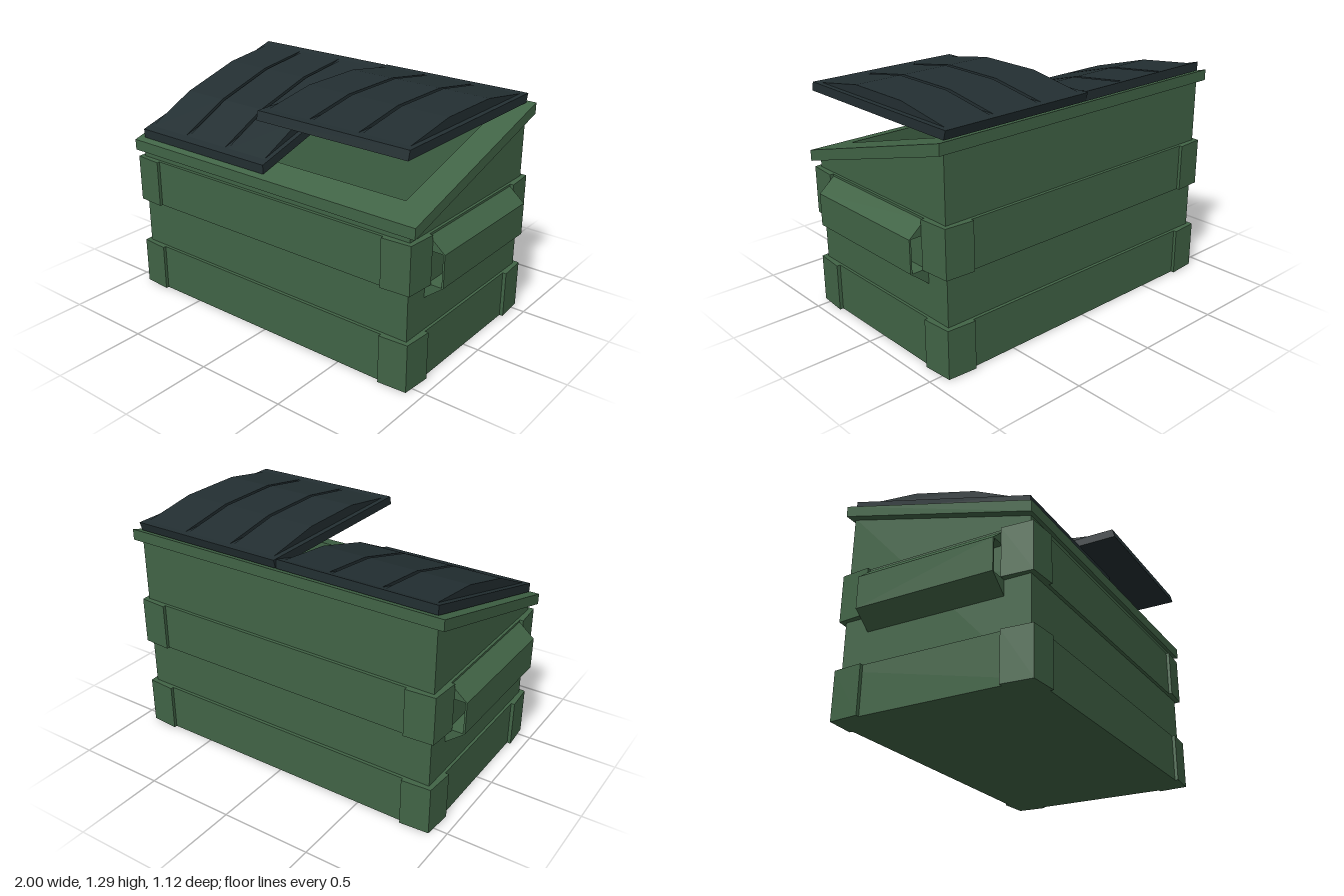
import * as THREE from 'three';

const green = new THREE.MeshStandardMaterial({ color: 0x416446 });
green.name = 'green steel';
const dark = new THREE.MeshStandardMaterial({ color: 0x232f32 });
dark.name = 'dark plastic';

const SLOPE = 0.286;
const HOLE_X = 0.785, HOLE_Z = 0.4;
const slopeY = (base, z) => base + (0.55 - z) * SLOPE;

function add(parent, name, geometry, material) {
  const mesh = new THREE.Mesh(geometry, material);
  mesh.name = name;
  parent.add(mesh);
  return mesh;
}

const shapeOf = pts => new THREE.Shape(pts.map(p => new THREE.Vector2(p[0], p[1])));
const rect = (x, z) => [[-x, -z], [x, -z], [x, z], [-x, z]];

// Plan outline (x, z) extruded upwards from y = 0
function plan(shape, height) {
  return new THREE.ExtrudeGeometry(shape, { depth: height, bevelEnabled: false }).rotateX(-Math.PI / 2);
}

// Rectangular ring of walls around the open cavity
function frame(x, z, height) {
  const s = shapeOf(rect(x, z));
  s.holes.push(shapeOf(rect(HOLE_X, HOLE_Z)));
  return plan(s, height);
}

// Replace bottom and top heights by functions of z
function slant(geometry, bottom, top) {
  const p = geometry.attributes.position;
  for (let i = 0; i < p.count; i++) {
    const z = p.getZ(i);
    p.setY(i, p.getY(i) > 0.5 ? top(z) : bottom(z));
  }
  geometry.computeVertexNormals();
  return geometry;
}

// Side profile (z, y) extruded across x from x0 to x1
function sideProfile(pts, x0, x1) {
  return new THREE.ExtrudeGeometry(shapeOf(pts), { depth: x1 - x0, bevelEnabled: false })
    .rotateY(-Math.PI / 2).translate(x1, 0, 0);
}

// Lid hinged at its back lower edge: slab with three raised panels
function makeLid(name, side) {
  const lid = new THREE.Group();
  lid.name = name;
  const span = (a, b) => side > 0 ? [a, b] : [-b, -a];
  const slab = [[0, 0], [1.085, 0], [1.073, 0.048], [-0.014, 0.048]];
  const panel = [[0.005, 0.045], [1.045, 0.045], [0.715, 0.1], [0.345, 0.1]];
  add(lid, 'lidSlab', sideProfile(slab, ...span(0.002, 0.895)), dark);
  for (const [a, b] of [[0.03, 0.287], [0.308, 0.582], [0.603, 0.867]]) {
    add(lid, 'lidPanel', sideProfile(panel, ...span(a, b)), dark);
  }
  lid.position.set(0, 1.192, -0.525);
  return lid;
}

export function createModel() {
  const model = new THREE.Group();
  model.name = 'dumpster';

  // Hollow body with sloping top, floor and rim
  add(model, 'bodyWalls', slant(frame(0.897, 0.524, 1), () => 0, z => slopeY(0.83, z)), green);
  add(model, 'floor', new THREE.BoxGeometry(1.6, 0.04, 0.84).translate(0, 0.02, 0), green);
  add(model, 'rim', slant(frame(0.94, 0.55, 1), z => slopeY(0.82, z), z => slopeY(0.88, z)), green);

  // Reinforcing bands with wrapped corner plates
  const corner = [[0.76, 0.5], [0.76, 0.56], [0.92, 0.549], [0.932, 0.385], [0.88, 0.385], [0.88, 0.5]];
  for (const [y, h] of [[0, 0.263], [0.525, 0.26]]) {
    add(model, 'band', frame(0.912, 0.542, h).translate(0, y, 0), green);
    for (const sx of [-1, 1]) for (const sz of [-1, 1]) {
      const s = shapeOf(corner.map(([x, z]) => [x * sx, z * sz]));
      add(model, 'cornerPlate', plan(s, h).translate(0, y, 0), green);
    }
  }

  // Fork pockets: open sleeves on both sides
  const pocketParts = {
    pocketTop: [[0.9, 0.775], [0.91, 0.775], [1, 0.7], [0.9, 0.7]],
    pocketPlate: [[0.99, 0.525], [1, 0.525], [1, 0.7], [0.99, 0.7]],
    pocketBottom: [[0.89, 0.437], [1, 0.525], [0.89, 0.525]],
  };
  for (const sx of [-1, 1]) {
    const pocket = new THREE.Group();
    pocket.name = sx > 0 ? 'leftForkPocket' : 'rightForkPocket';
    for (const [name, pts] of Object.entries(pocketParts)) {
      const s = shapeOf(pts.map(([x, y]) => [x * sx, y]));
      const g = new THREE.ExtrudeGeometry(s, { depth: 0.768, bevelEnabled: false }).translate(0, 0, -0.384);
      add(pocket, name, g, green);
    }
    model.add(pocket);
  }

  // One lid raised level, the other resting on the rim
  model.add(makeLid('openLid', 1));
  const closed = makeLid('closedLid', -1);
  closed.rotation.x = Math.atan(SLOPE);
  model.add(closed);

  return model;
}
